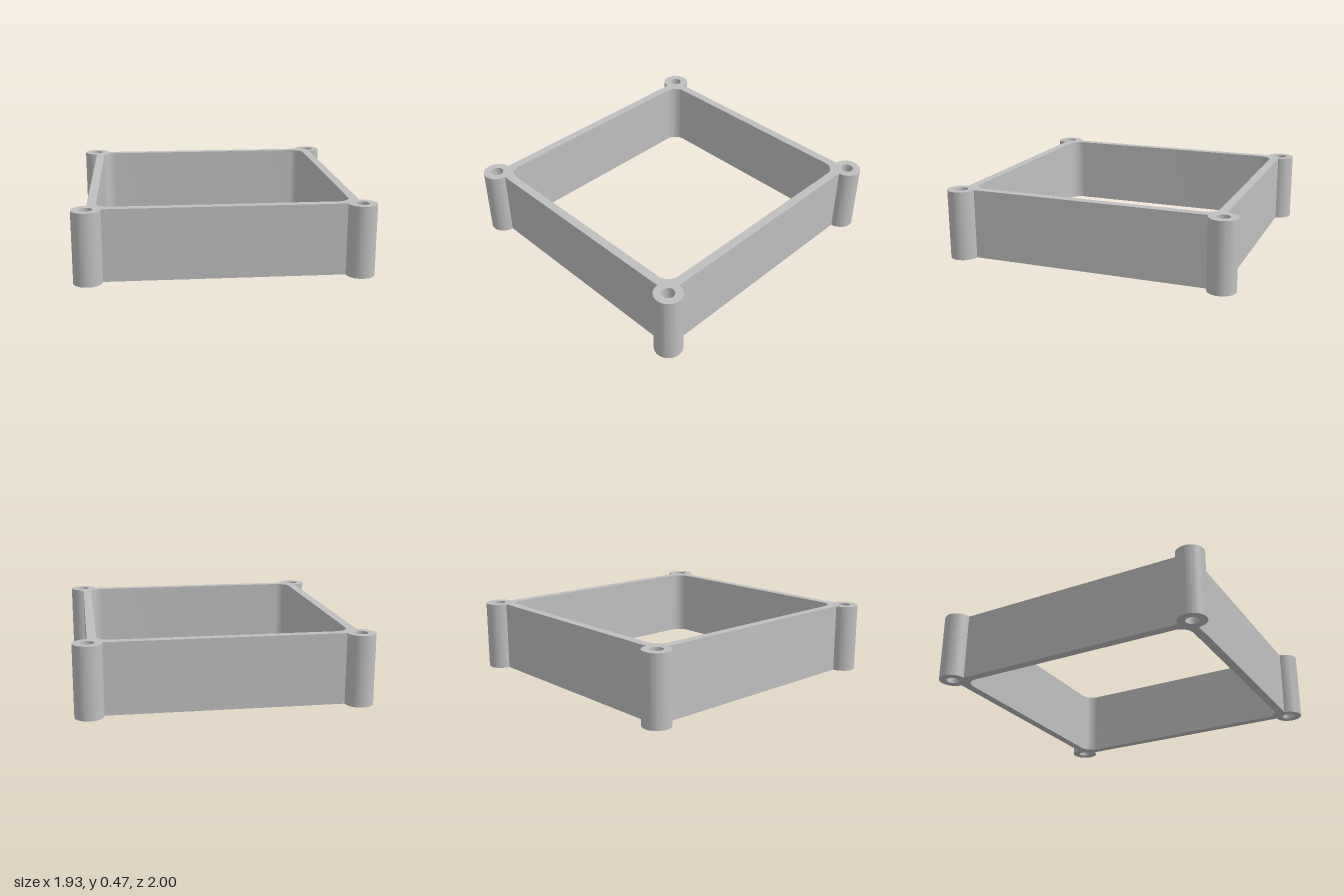
import * as THREE from 'three';
import { toCreasedNormals } from 'three/addons/utils/BufferGeometryUtils.js';

const HEIGHT = 0.475;
const X = 0.873, Z = 0.906;      // outer wall faces, also the screw boss centres
const WALL = 0.06, FILLET = 0.09; // wall thickness, inner corner radius
const BOSS = 0.094, BORE = 0.043; // screw boss and bore radii

// Corners counterclockwise, each with the quarter turn of its arcs
const CORNERS = [[1, 1], [-1, 1], [-1, -1], [1, -1]].map(([sx, sz], i) => ({ sx, sz, turn: i * Math.PI / 2 }));

export function createModel() {
  const grey = new THREE.MeshStandardMaterial({ color: 0xbfbfbf });
  grey.name = 'grey';

  // Outer outline: straight walls joined by three-quarter round bosses
  const outline = new THREE.Shape();
  for (const { sx, sz, turn } of CORNERS) {
    outline.absarc(sx * X, sz * Z, BOSS, turn - Math.PI / 2, turn + Math.PI, false);
  }
  outline.closePath();

  // Rounded rectangular opening
  const opening = new THREE.Path();
  const ix = X - WALL - FILLET, iz = Z - WALL - FILLET;
  for (const { sx, sz, turn } of CORNERS) {
    opening.absarc(sx * ix, sz * iz, FILLET, turn, turn + Math.PI / 2, false);
  }
  opening.closePath();
  outline.holes.push(opening);

  // Screw bores through the bosses
  for (const { sx, sz } of CORNERS) {
    outline.holes.push(new THREE.Path().absarc(sx * X, sz * Z, BORE, 0, Math.PI * 2, false));
  }

  const geometry = new THREE.ExtrudeGeometry(outline, { depth: HEIGHT, bevelEnabled: false, curveSegments: 40 });
  geometry.rotateX(-Math.PI / 2);

  const frame = new THREE.Mesh(toCreasedNormals(geometry, Math.PI / 6), grey);
  frame.name = 'frameWithScrewBosses';

  const group = new THREE.Group();
  group.name = 'spacerFrame';
  group.add(frame);
  return group;
}
